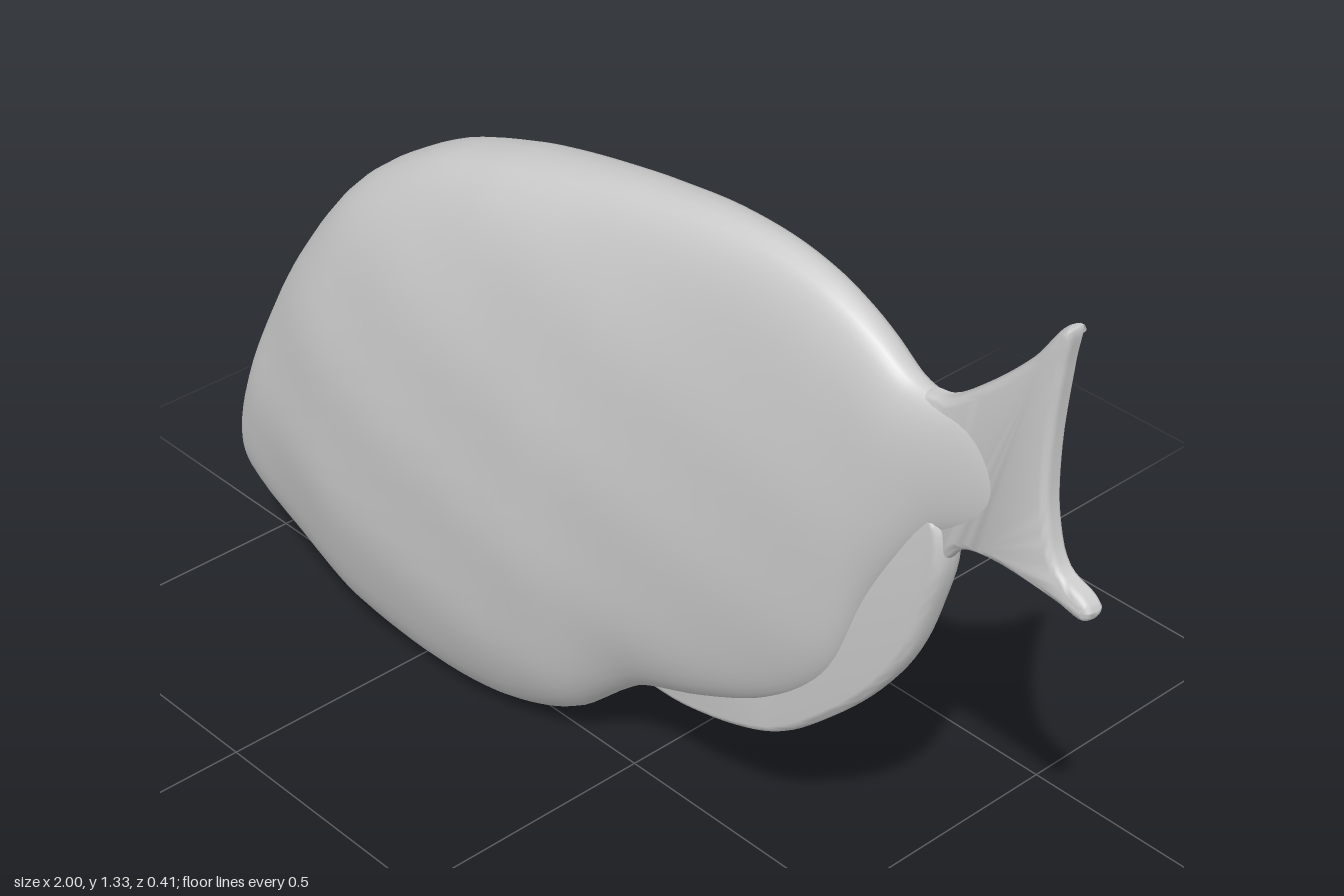
import * as THREE from 'three';
import { toCreasedNormals } from 'three/addons/utils/BufferGeometryUtils.js';

const grey = new THREE.MeshStandardMaterial({ color: 0xcccccc, side: THREE.DoubleSide });
grey.name = 'plain grey';

// Body stations from mouth to tail root: x, top, bottom, half width
const stations = [
  [-0.975, 0.34, 0.20, 0.085], [-0.955, 0.43, 0.165, 0.118], [-0.92, 0.52, 0.14, 0.135],
  [-0.87, 0.63, 0.11, 0.15], [-0.8, 0.75, 0.08, 0.165], [-0.7, 0.885, 0.045, 0.185],
  [-0.6, 0.98, 0.02, 0.197], [-0.45, 1.07, 0.005, 0.2], [-0.3, 1.125, 0.015, 0.193],
  [-0.2, 1.153, 0.04, 0.185], [-0.1, 1.176, 0.09, 0.175], [0, 1.196, 0.18, 0.158],
  [0.07, 1.207, 0.23, 0.146], [0.2, 1.224, 0.28, 0.123], [0.33, 1.226, 0.345, 0.102],
  [0.43, 1.21, 0.42, 0.087], [0.5, 1.185, 0.51, 0.075], [0.56, 1.152, 0.66, 0.064],
  [0.62, 1.113, 0.77, 0.052], [0.68, 1.102, 0.85, 0.04], [0.76, 1.1, 0.9, 0.026], [0.84, 1.04, 0.95, 0.012],
];

function bodyGeometry(rings = 90, sides = 56) {
  const outline = new THREE.CatmullRomCurve3(stations.map(s => new THREE.Vector3(s[0], s[1], s[2])), false, 'catmullrom');
  const girth = new THREE.CatmullRomCurve3(stations.map(s => new THREE.Vector3(s[0], s[3], 0)), false, 'catmullrom');
  const pos = [], index = [];
  // The extra first and last rings collapse to a point and close the ends
  for (let i = -1; i <= rings + 1; i++) {
    const t = THREE.MathUtils.clamp(i / rings, 0, 1);
    const p = outline.getPoint(t), w = girth.getPoint(t).y;
    const k = i < 0 || i > rings ? 0 : 1;
    const mid = (p.y + p.z) / 2, half = (p.y - p.z) / 2;
    for (let j = 0; j < sides; j++) {
      const a = (j / sides) * Math.PI * 2, c = Math.cos(a);
      const y = mid + k * half * Math.sin(a);
      // Slightly boxy section with gentle lumps in the skin
      const lump = 1 + 0.025 * Math.sin(p.x * 13 + y * 7) * Math.sin(y * 15 - p.x * 5);
      pos.push(p.x - (k ? 0 : 0.008) * (i < 0 ? 1 : -1), y, k * w * lump * Math.sign(c) * Math.abs(c) ** 0.8);
    }
  }
  for (let i = 0; i < rings + 2; i++) {
    for (let j = 0; j < sides; j++) {
      const a = i * sides + j, b = i * sides + (j + 1) % sides;
      index.push(a, a + sides, b + sides, a, b + sides, b);
    }
  }
  const g = new THREE.BufferGeometry();
  g.setAttribute('position', new THREE.Float32BufferAttribute(pos, 3));
  g.setIndex(index);
  g.computeVertexNormals();
  return g;
}

// Rounded fin plate from an outline in the x-y plane
function finGeometry(points, half) {
  const curve = new THREE.CatmullRomCurve3(points.map(([x, y]) => new THREE.Vector3(x, y, 0)), true, 'centripetal');
  const shape = new THREE.Shape(curve.getPoints(points.length * 5).slice(0, -1).map(p => new THREE.Vector2(p.x, p.y)));
  const g = new THREE.ExtrudeGeometry(shape, {
    depth: 0.004, bevelEnabled: true, bevelThickness: half - 0.002, bevelSize: 0.016, bevelOffset: -0.016, bevelSegments: 4,
  });
  g.translate(0, 0, -0.002);
  return toCreasedNormals(g, 0.9);
}

export function createModel() {
  const fish = new THREE.Group();
  fish.name = 'fish';
  const add = (name, geometry) => {
    const mesh = new THREE.Mesh(geometry, grey);
    mesh.name = name;
    fish.add(mesh);
    return mesh;
  };

  add('body', bodyGeometry());

  // Forked tail
  add('tailFin', finGeometry([
    [0.6, 1.05], [0.64, 1.1], [0.69, 1.112], [0.76, 1.165], [0.85, 1.255], [0.905, 1.33], [0.922, 1.335],
    [0.915, 1.27], [0.902, 1.12], [0.908, 1.0], [0.935, 0.925], [0.985, 0.9], [1, 0.88], [0.985, 0.86],
    [0.93, 0.868], [0.8, 0.875], [0.74, 0.86], [0.7, 0.82], [0.64, 0.88],
  ], 0.02));

  // Fin along the rear underside
  add('analFin', finGeometry([
    [-0.04, 0.2], [0.04, 0.224], [0.15, 0.23], [0.28, 0.26], [0.38, 0.305], [0.48, 0.39], [0.58, 0.5],
    [0.65, 0.61], [0.69, 0.72], [0.715, 0.83], [0.7, 0.9], [0.6, 0.92], [0.45, 0.65], [0.25, 0.45], [0.05, 0.35],
  ], 0.03));

  // Lips with a notch between them
  for (const [name, x, y, r] of [['upperLip', -0.955, 0.298, 0.04], ['lowerLip', -0.947, 0.208, 0.036]]) {
    const lip = add(name, new THREE.SphereGeometry(1, 28, 18));
    lip.scale.set(r + 0.005, r, 0.1);
    lip.position.set(x, y, 0);
  }
  return fish;
}
